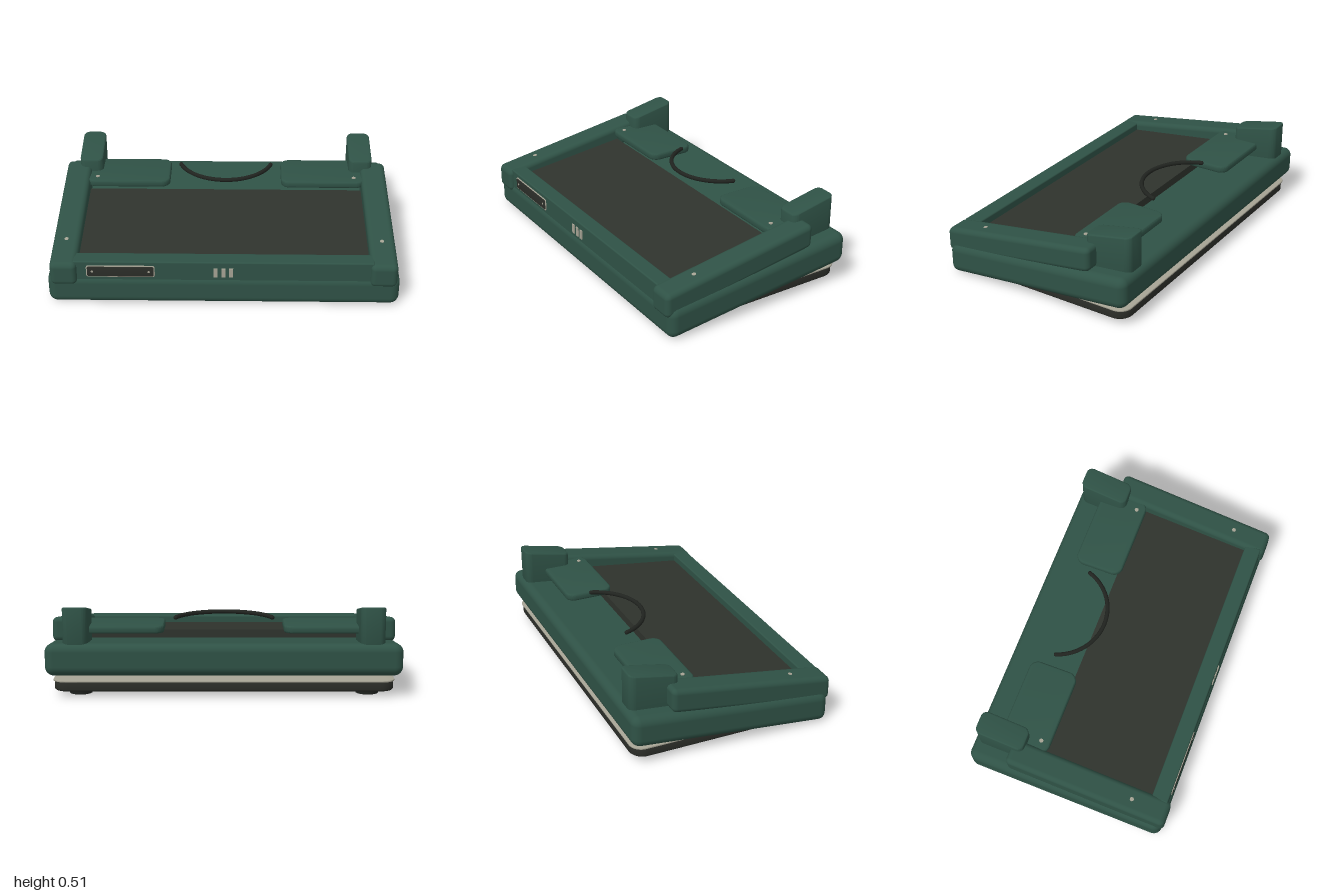
import * as THREE from 'three';
import { toCreasedNormals } from 'three/addons/utils/BufferGeometryUtils.js';
import { RoundedBoxGeometry } from 'three/addons/geometries/RoundedBoxGeometry.js';

const paint = (name, color) => {
  const m = new THREE.MeshStandardMaterial({ color });
  m.name = name;
  return m;
};

// Slopes a geometry so that it rises towards the back.
const slope = (geo, k) => geo.applyMatrix4(new THREE.Matrix4().set(
  1, 0, 0, 0,
  0, 1, -k, 0,
  0, 0, 1, 0,
  0, 0, 0, 1));

// Slab with rounded corners in plan and a small bevel, centred on the origin.
function slab(w, h, d, r, bevel) {
  const x = w / 2 - bevel, y = d / 2 - bevel;
  const s = new THREE.Shape();
  s.moveTo(-x + r, -y);
  s.lineTo(x - r, -y);
  s.absarc(x - r, -y + r, r, -Math.PI / 2, 0);
  s.absarc(x - r, y - r, r, 0, Math.PI / 2);
  s.absarc(-x + r, y - r, r, Math.PI / 2, Math.PI);
  s.absarc(-x + r, -y + r, r, Math.PI, Math.PI * 1.5);
  const geo = new THREE.ExtrudeGeometry(s, {
    depth: h - 2 * bevel, bevelSize: bevel, bevelThickness: bevel, bevelSegments: 3, curveSegments: 8,
  });
  geo.translate(0, 0, -(h - 2 * bevel) / 2).rotateX(-Math.PI / 2);
  return toCreasedNormals(geo, 0.6);
}

export function createModel() {
  const green = paint('casing green', 0x2f5246);
  const deckDark = paint('deck charcoal', 0x2f332d);
  const rubber = paint('rubber black', 0x20231f);
  const trayDark = paint('tray charcoal', 0x2c2e29);
  const trimGrey = paint('trim grey', 0xa6a394);

  const group = new THREE.Group();
  const add = (name, geo, mat, x, y, z) => {
    const m = new THREE.Mesh(geo, mat);
    m.name = name;
    m.position.set(x, y, z);
    group.add(m);
    return m;
  };

  // Sloping main casing, sunken deck and front rail
  add('casing', slope(new RoundedBoxGeometry(2, 0.184, 1.185, 5, 0.05), 0.11), green, 0, 0.157, -0.007);
  add('deck', slope(new THREE.BoxGeometry(1.68, 0.09, 0.68), 0.12), deckDark, 0, 0.231, 0.15);
  add('frontRail', new RoundedBoxGeometry(1.7, 0.18, 0.097, 3, 0.008), green, 0, 0.19, 0.528);

  // Flat tray under the casing, with its trim line
  add('tray', slab(1.91, 0.06, 1.02, 0.07, 0.012), trayDark, 0, 0.066, -0.068);
  add('trayTrim', slab(1.92, 0.01, 1.02, 0.07, 0.003), trimGrey, 0, 0.095, -0.072);

  const pin = new THREE.CylinderGeometry(0.012, 0.012, 0.012, 16);
  for (const side of [-1, 1]) {
    // Side arm, rear post and shelf pad
    add('sideArm', slope(new RoundedBoxGeometry(0.153, 0.142, 0.965, 4, 0.03), 0.157), green, side * 0.905, 0.277, 0.117);
    add('rearPost', slope(slab(0.14, 0.24, 0.285, 0.03, 0.008), 0.2), green, side * 0.83, 0.367, -0.433);
    add('shelfPad', slab(0.51, 0.042, 0.29, 0.045, 0.01), green, side * 0.595, 0.364, -0.31);
    add('armScrew', slope(pin.clone(), 0.157), trimGrey, side * 0.905, 0.303, 0.38);
    add('padScrew', pin, trimGrey, side * 0.785, 0.383, -0.22);

    // Round feet
    for (const z of [0.42, -0.43])
      add('foot', new THREE.CylinderGeometry(0.07, 0.064, 0.045, 28), rubber, side * 0.815, 0.0225, z);
  }

  // Curved carrying handle
  const handle = new THREE.Group();
  handle.name = 'handle';
  handle.position.set(0, 0.415, -0.426);
  const R = 0.293, end = 0.33;
  const grip = new THREE.Mesh(
    new THREE.TorusGeometry(R, 0.0125, 10, 32, Math.PI - 2 * end).rotateZ(end).rotateX(Math.PI / 2), rubber);
  grip.name = 'handleGrip';
  handle.add(grip);
  for (const side of [-1, 1]) {
    const cap = new THREE.Mesh(new THREE.SphereGeometry(0.0125, 12, 8), rubber);
    cap.name = 'handleEnd';
    cap.position.set(side * R * Math.cos(end), 0, R * Math.sin(end));
    handle.add(cap);
  }
  group.add(handle);

  // Blank name plate: light rim, dark face, two screws
  const upright = (w, h, r) => slab(w, 0.006, h, r, 0.001).rotateX(Math.PI / 2);
  add('plateRim', upright(0.388, 0.074, 0.012), trimGrey, -0.582, 0.219, 0.578);
  add('plateFace', upright(0.376, 0.062, 0.008), trayDark, -0.582, 0.219, 0.581);
  for (const x of [-0.742, -0.422])
    add('plateScrew', new THREE.CylinderGeometry(0.007, 0.007, 0.006, 12).rotateX(Math.PI / 2), trimGrey, x, 0.219, 0.583);

  // Indicator bars
  for (const x of [-0.045, 0, 0.043])
    add('indicatorBar', new THREE.BoxGeometry(0.023, 0.056, 0.008), trimGrey, x, 0.213, 0.579);

  return group;
}
